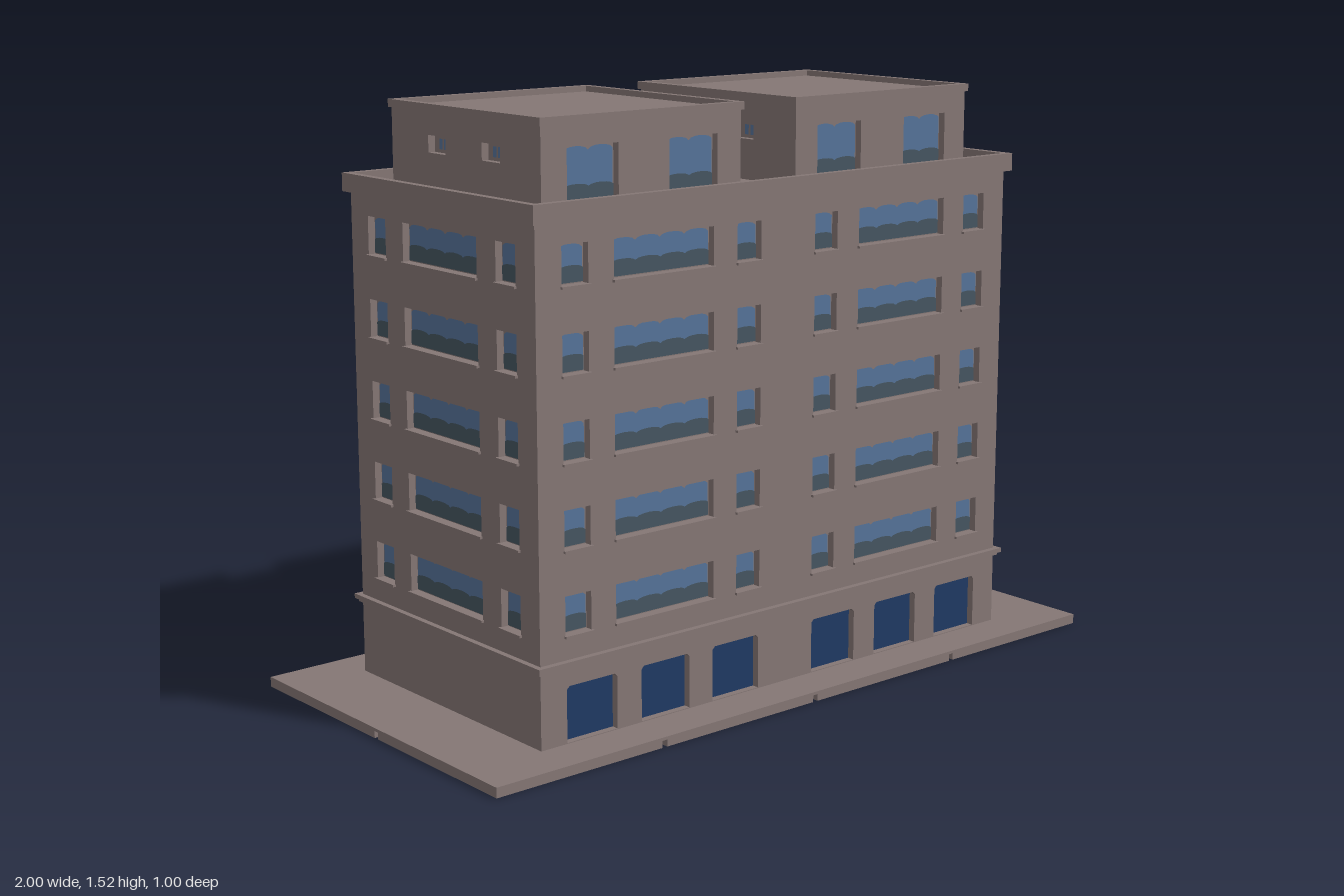
import * as THREE from 'three';

const material = (name, color, side = THREE.FrontSide) => {
  const m = new THREE.MeshStandardMaterial({ color, side });
  m.name = name;
  return m;
};

const RECESS = 0.02; // depth of window and door openings

export function createModel() {
  const wall = material('wall', 0x857775);
  const glass = material('glass', 0x56749a);
  const shade = material('lowerGlass', 0x465661);
  const door = material('door', 0x203a64);

  const root = new THREE.Group();
  root.name = 'apartmentBlock';

  const add = (parent, name, geometry, mat, x = 0, y = 0, z = 0) => {
    const mesh = new THREE.Mesh(geometry, mat);
    mesh.name = name;
    mesh.position.set(x, y, z);
    parent.add(mesh);
    return mesh;
  };

  // box given by its height range
  const slab = (parent, name, w, y0, y1, d, x = 0, z = 0) =>
    add(parent, name, new THREE.BoxGeometry(w, y1 - y0, d), wall, x, (y0 + y1) / 2, z);

  // rectangular ring lying flat, used for parapets
  const ring = (parent, name, w, d, t, y0, y1, x = 0) => {
    const s = rect(-w / 2, -d / 2, w, d);
    s.holes.push(rect(-w / 2 + t, -d / 2 + t, w - 2 * t, d - 2 * t));
    const g = new THREE.ExtrudeGeometry(s, { depth: y1 - y0, bevelEnabled: false });
    g.rotateX(-Math.PI / 2);
    add(parent, name, g, wall, x, y0, 0);
  };

  function rect(x, y, w, h, c = 0) {
    // c cuts the two top corners
    const s = new THREE.Shape();
    s.moveTo(x, y);
    s.lineTo(x + w, y);
    s.lineTo(x + w, y + h - c);
    if (c) s.lineTo(x + w - c, y + h);
    s.lineTo(x + c, y + h);
    if (c) s.lineTo(x, y + h - c);
    s.closePath();
    return s;
  }

  // flat pane whose upper edge is a row of n shallow arches
  const archedPane = (x, y, w, h, n, rise) => {
    const s = new THREE.Shape();
    const step = w / n;
    s.moveTo(x, y);
    s.lineTo(x + w, y);
    s.lineTo(x + w, y + h - rise);
    for (let i = n; i > 0; i--) {
      const a = x + i * step;
      s.bezierCurveTo(a - step * 0.1, y + h + rise * 0.33, a - step * 0.9, y + h + rise * 0.33, a - step, y + h - rise);
    }
    s.closePath();
    return new THREE.ShapeGeometry(s, 6);
  };

  // wall panel facing +z with real openings, their fillings and sills
  const facade = (parent, name, width, y0, y1, openings) => {
    const group = new THREE.Group();
    group.name = name;
    const s = rect(-width / 2, y0, width, y1 - y0);
    for (const o of openings) {
      const x = o.x - o.w / 2;
      s.holes.push(rect(x, o.y, o.w, o.h, o.kind === 'door' ? 0.008 : 0));
      const back = -RECESS + 0.001;
      if (o.kind === 'door') {
        add(group, 'garageDoor', new THREE.PlaneGeometry(o.w, o.h), door, o.x, o.y + o.h / 2, back);
      } else if (o.kind === 'vent') {
        for (const dx of [-0.01, 0.01])
          add(group, 'ventPane', new THREE.PlaneGeometry(0.014, 0.026), glass, o.x + dx, o.y + o.h / 2, back);
      } else {
        const n = o.w > 0.2 ? 4 : o.w > 0.1 ? 2 : 1;
        const m = 0.003;
        add(group, 'windowPane', archedPane(x + m, o.y + m, o.w - 2 * m, o.h - 2 * m, n, 0.01), glass, 0, 0, back);
        add(group, 'lowerPane', archedPane(x + m, o.y + m, o.w - 2 * m, o.h * (o.low ?? 0.42), n, 0.007), shade, 0, 0, back + 0.002);
        slab(group, 'windowSill', o.w + 0.008, o.y - 0.006, o.y, 0.01, o.x, 0.003);
      }
    }
    add(group, 'wallPanel', new THREE.ExtrudeGeometry(s, { depth: RECESS, bevelEnabled: false }), wall, 0, 0, -RECESS);
    parent.add(group);
    return group;
  };

  // four facades around a core; fronts span the corners, sides fit between
  const block = (parent, w, d, y0, y1, frontOpenings, sideOpenings) => {
    slab(parent, 'core', w - 2 * RECESS, y0, y1, d - 2 * RECESS);
    for (const k of [0, 1]) {
      const front = facade(parent, k ? 'backWall' : 'frontWall', w, y0, y1, frontOpenings);
      front.rotation.y = k * Math.PI;
      front.position.z = (k ? -1 : 1) * d / 2;
      const side = facade(parent, k ? 'rightWall' : 'leftWall', d - 2 * RECESS, y0, y1, sideOpenings);
      side.rotation.y = (k ? -1 : 1) * Math.PI / 2;
      side.position.x = (k ? -1 : 1) * w / 2;
    }
  };

  // ground slab resting on eight separate tiles
  slab(root, 'groundSlab', 2, 0.018, 0.026, 1);
  for (let i = 0; i < 4; i++)
    for (let j = 0; j < 2; j++)
      slab(root, 'groundTile', i % 3 ? 0.485 : 0.4925, 0, 0.018, 0.4925,
        [-0.75375, -0.25, 0.25, 0.75375][i], j ? 0.25375 : -0.25375);

  // window bays: narrow, wide, narrow on each of five floors
  const bays = (cx) => {
    const list = [];
    for (let f = 0; f < 5; f++)
      for (const [dx, w] of [[-0.27, 0.078], [0, 0.31], [0.27, 0.078]])
        list.push({ kind: 'window', x: cx + dx, y: 0.297 + f * 0.21, w, h: 0.097 });
    return list;
  };
  const doors = [];
  for (const cx of [-0.4, 0.4])
    for (const dx of [-0.23, 0, 0.23])
      doors.push({ kind: 'door', x: cx + dx, y: 0.028, w: 0.154, h: 0.142 });

  // main building
  const main = new THREE.Group();
  main.name = 'mainBuilding';
  root.add(main);
  block(main, 1.57, 0.768, 0.026, 1.295, [...bays(-0.4), ...bays(0.4), ...doors], bays(0));
  slab(main, 'lowerLedge', 1.586, 0.216, 0.224, 0.784).visible = true;
  slab(main, 'upperLedge', 1.6, 0.224, 0.236, 0.8);
  ring(main, 'parapet', 1.6, 0.8, 0.02, 1.288, 1.335);

  // two rooftop houses
  const roofWindows = [-0.155, 0.155].map((x) => ({ kind: 'window', x, y: 1.312, w: 0.154, h: 0.135, low: 0.3 }));
  const vents = [-0.112, 0.112].map((x) => ({ kind: 'vent', x, y: 1.4, w: 0.074, h: 0.043 }));
  for (const cx of [-0.4, 0.4]) {
    const house = new THREE.Group();
    house.name = 'roofHouse';
    house.position.x = cx;
    root.add(house);
    block(house, 0.615, 0.615, 1.29, 1.505, roofWindows, vents);
    ring(house, 'roofRim', 0.628, 0.628, 0.02, 1.5, 1.52);
  }
  return root;
}
